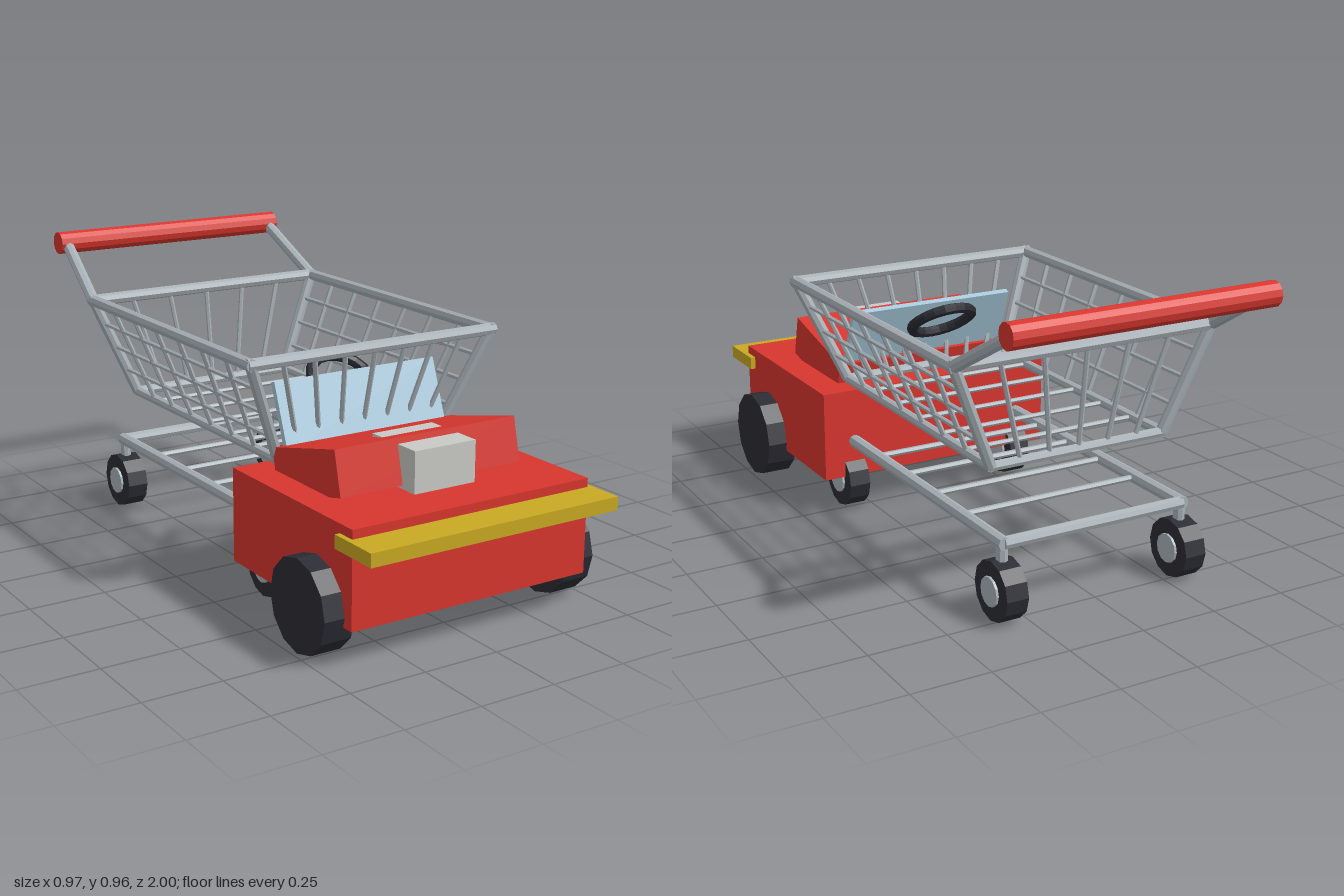
import * as THREE from 'three';

const mat = (name, color) => {
  const m = new THREE.MeshStandardMaterial({ color, flatShading: true });
  m.name = name;
  return m;
};

export function createModel() {
  const red = mat('red paint', 0xd8362e);
  const metal = mat('grey metal', 0xa9b2b8);
  const rubber = mat('dark rubber', 0x2b2c34);
  const yellow = mat('yellow bumper', 0xc9a822);
  const glass = mat('pale blue glass', 0xa8c9dc);
  const engineGrey = mat('light grey engine', 0xc9c9c5);

  const model = new THREE.Group();
  model.name = 'cartCar';
  const V = (x, y, z) => new THREE.Vector3(x, y, z);
  const group = (name) => {
    const g = new THREE.Group();
    g.name = name;
    model.add(g);
    return g;
  };
  const add = (parent, name, geo, material) => {
    const m = new THREE.Mesh(geo, material);
    m.name = name;
    parent.add(m);
    return m;
  };
  const box = (parent, name, material, w, h, d, x, y, z, rx = 0) => {
    const m = add(parent, name, new THREE.BoxGeometry(w, h, d), material);
    m.position.set(x, y, z);
    m.rotation.x = rx;
    return m;
  };
  // Straight bar from a to b, lengthened a little at each end
  const bar = (parent, name, a, b, r, ext = 0, material = metal, sides = 8) => {
    const dir = b.clone().sub(a);
    const len = dir.length();
    const m = add(parent, name, new THREE.CylinderGeometry(r, r, len + 2 * ext, sides), material);
    m.position.copy(a).add(b).multiplyScalar(0.5);
    m.quaternion.setFromUnitVectors(V(0, 1, 0), dir.normalize());
    return m;
  };
  // Disc with its axle along x
  const disc = (parent, name, material, r, w, x, y, z) => {
    const m = add(parent, name, new THREE.CylinderGeometry(r, r, w, 12), material);
    m.rotation.z = Math.PI / 2;
    // puts a corner of the disc at the bottom
    m.geometry.rotateY(Math.PI / 2);
    m.position.set(x, y, z);
    return m;
  };

  // Car front
  const car = group('carFront');
  box(car, 'body', red, 0.84, 0.3, 0.65, 0, 0.265, 0.56);
  box(car, 'hood', red, 0.65, 0.14, 0.35, 0, 0.456, 0.496, -0.234);
  box(car, 'engineBlock', engineGrey, 0.218, 0.13, 0.215, 0, 0.482, 0.633);
  box(car, 'bumper', yellow, 0.874, 0.042, 0.175, 0, 0.366, 0.912);
  box(car, 'windscreen', glass, 0.59, 0.22, 0.02, 0, 0.568, 0.302, -0.36);
  const wheel = add(car, 'steeringWheel', new THREE.TorusGeometry(0.103, 0.018, 8, 20), rubber);
  wheel.position.set(0, 0.622, 0.195);
  wheel.rotation.x = -0.94;
  for (const s of [-1, 1]) disc(car, 'frontWheel', rubber, 0.145, 0.1, s * 0.436, 0.145, 0.706);

  // Lower frame and casters
  const frame = group('lowerFrame');
  for (const s of [-1, 1]) {
    const x = s * 0.312;
    bar(frame, 'rail', V(x, 0.238, 0.3), V(x, 0.238, -0.75), 0.021);
    for (const z of [0.288, -0.732]) {
      bar(frame, 'casterStem', V(x, 0.1, z), V(x, 0.235, z), 0.018);
      disc(frame, 'casterWheel', rubber, 0.093, 0.072, x, 0.093, z);
      disc(frame, 'casterHub', metal, 0.046, 0.088, x, 0.093, z);
    }
  }
  bar(frame, 'rearCrossbar', V(-0.312, 0.238, -0.74), V(0.312, 0.238, -0.74), 0.02);
  for (let i = 0; i < 4; i++) {
    const z = 0.0625 - i * 0.1875;
    bar(frame, 'crossbar', V(-0.312, 0.238, z), V(0.312, 0.238, z), 0.01, 0, metal, 6);
  }

  // Basket: top rim and floor corners, front left first, going round
  const basket = group('basket');
  const top = [V(0.44, 0.768, 0.382), V(-0.44, 0.768, 0.382), V(-0.44, 0.768, -0.683), V(0.44, 0.768, -0.683)];
  const low = [V(0.3, 0.437, 0.3), V(-0.3, 0.437, 0.3), V(-0.3, 0.437, -0.645), V(0.3, 0.437, -0.645)];
  const spaces = [8, 7, 6, 7];
  for (let i = 0; i < 4; i++) {
    const j = (i + 1) % 4;
    bar(basket, 'rim', top[i], top[j], 0.02, 0.012);
    bar(basket, 'floorRail', low[i], low[j], 0.016, 0.008);
    bar(basket, 'cornerPost', low[i], top[i], 0.019);
    // Upright wires
    for (let k = 1; k < spaces[i]; k++) {
      const t = k / spaces[i];
      bar(basket, 'uprightWire', low[i].clone().lerp(low[j], t), top[i].clone().lerp(top[j], t), 0.008, 0, metal, 6);
    }
    // Level wires on the two long sides
    if (i % 2) {
      for (const t of [0.25, 0.5, 0.75]) {
        bar(basket, 'levelWire', low[i].clone().lerp(top[i], t), low[j].clone().lerp(top[j], t), 0.008, 0, metal, 6);
      }
    }
  }
  for (let k = 1; k < 6; k++) {
    const z = 0.3 - k * 0.1575;
    bar(basket, 'floorWire', V(-0.3, 0.437, z), V(0.3, 0.437, z), 0.008, 0, metal, 6);
  }

  // Push handle
  const handle = group('pushHandle');
  for (const s of [-1, 1]) bar(handle, 'handleArm', V(s * 0.44, 0.768, -0.683), V(s * 0.41, 0.925, -0.955), 0.02);
  bar(handle, 'grip', V(-0.44, 0.925, -0.961), V(0.44, 0.925, -0.961), 0.039, 0, red, 12);

  return model;
}
